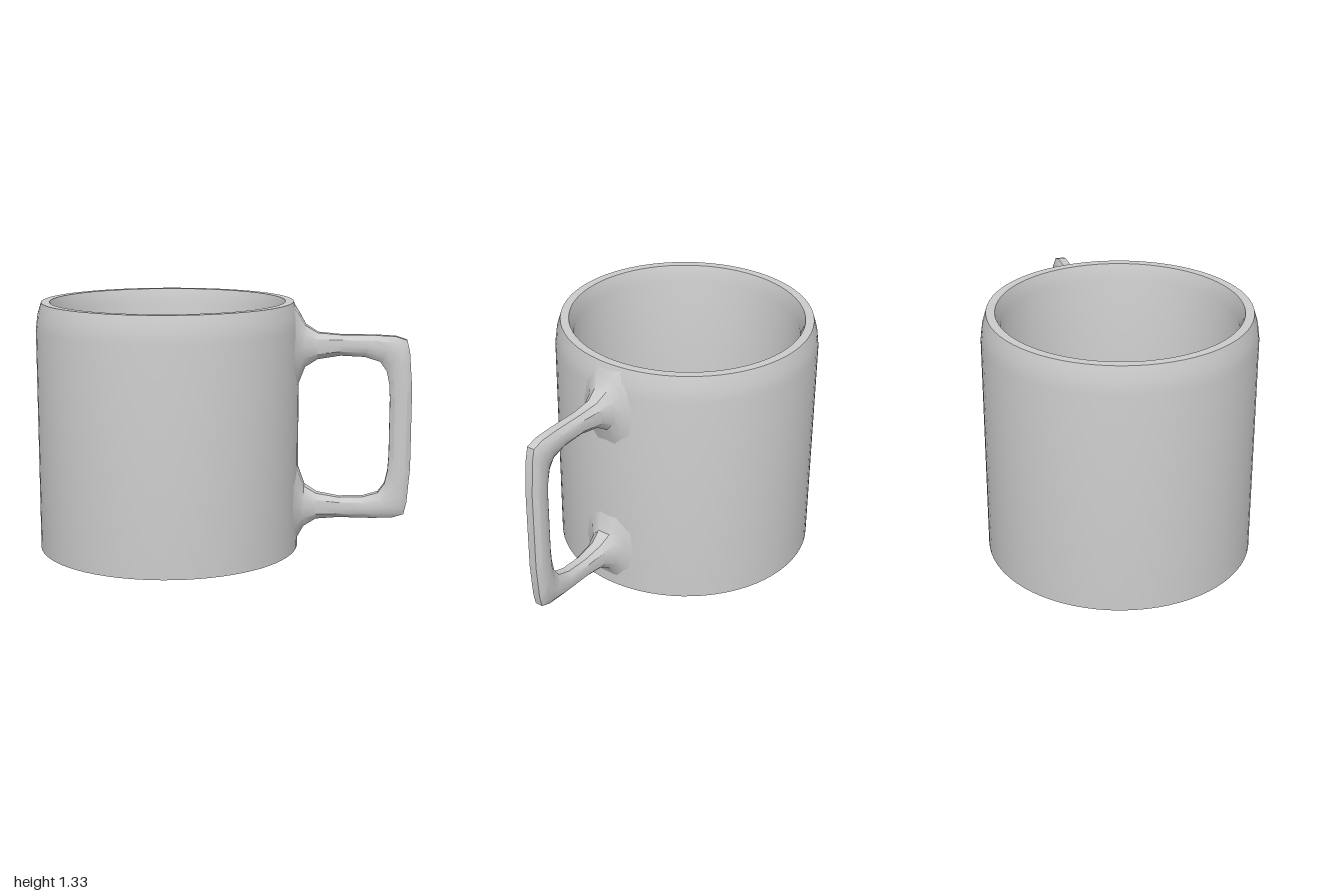
import * as THREE from 'three';
import { toCreasedNormals } from 'three/addons/utils/BufferGeometryUtils.js';

const HEIGHT = 1.33;
const material = new THREE.MeshStandardMaterial({ color: 0xcccccc });

// Hollow cup turned around its axis: base, wall, tapered shoulder, rim, inside, floor
function makeCup() {
  const profile = [
    [0, 0], [0.7, 0], [0.7, 1.19], [0.69, 1.265], [0.67, HEIGHT],
    [0.625, HEIGHT], [0.6, 1.25], [0.595, 0.1], [0, 0.1],
  ].map(([r, y]) => new THREE.Vector2(r, y));
  const geometry = toCreasedNormals(new THREE.LatheGeometry(profile, 72), 0.35);
  const cup = new THREE.Mesh(geometry, material);
  cup.name = 'cup';
  cup.position.x = -0.3;
  return cup;
}

// Squared handle lofted from eight-sided sections, flared where it meets the wall
function makeHandle() {
  // Upper half: outer x, outer y, inner x, inner y, half width
  const half = [
    [0.365, 1.32, 0.375, 0.84, 0.18],
    [0.4, 1.27, 0.4, 0.9, 0.115],
    [0.435, 1.21, 0.435, 0.99, 0.08],
    [0.5, 1.17, 0.5, 1.03, 0.058],
    [0.62, 1.16, 0.62, 1.05, 0.047],
    [0.8, 1.16, 0.75, 1.045, 0.047],
    [0.91, 1.155, 0.83, 1.02, 0.047],
    [0.97, 1.135, 0.865, 0.97, 0.047],
    [0.985, 1.07, 0.88, 0.9, 0.047],
    [1.0, 0.88, 0.885, 0.82, 0.047],
  ];
  const lower = half.map(([ox, oy, ix, iy, w]) => [ox, HEIGHT - oy, ix, HEIGHT - iy, w]).reverse();
  const stations = [...half, ...lower];
  // Section corners: share of the way from outer to inner edge, share of half width
  const section = [
    [0, -0.45], [0, 0.45], [0.22, 0.92], [0.5, 1], [0.78, 0.92],
    [1, 0.45], [1, -0.45], [0.78, -0.92], [0.5, -1], [0.22, -0.92],
  ];
  const n = section.length;
  const positions = [];
  const index = [];
  stations.forEach(([ox, oy, ix, iy, w], i) => {
    for (const [t, s] of section) {
      positions.push(ox + (ix - ox) * t, oy + (iy - oy) * t, w * s);
    }
    if (i === 0) return;
    for (let j = 0; j < n; j++) {
      const a = (i - 1) * n + j;
      const b = (i - 1) * n + ((j + 1) % n);
      index.push(a, b, b + n, a, b + n, a + n);
    }
  });
  const geometry = new THREE.BufferGeometry();
  geometry.setAttribute('position', new THREE.Float32BufferAttribute(positions, 3));
  geometry.setIndex(index);
  const handle = new THREE.Mesh(toCreasedNormals(geometry, 0.6), material);
  handle.name = 'handle';
  return handle;
}

export function createModel() {
  const mug = new THREE.Group();
  mug.name = 'mug';
  mug.add(makeCup(), makeHandle());
  return mug;
}
